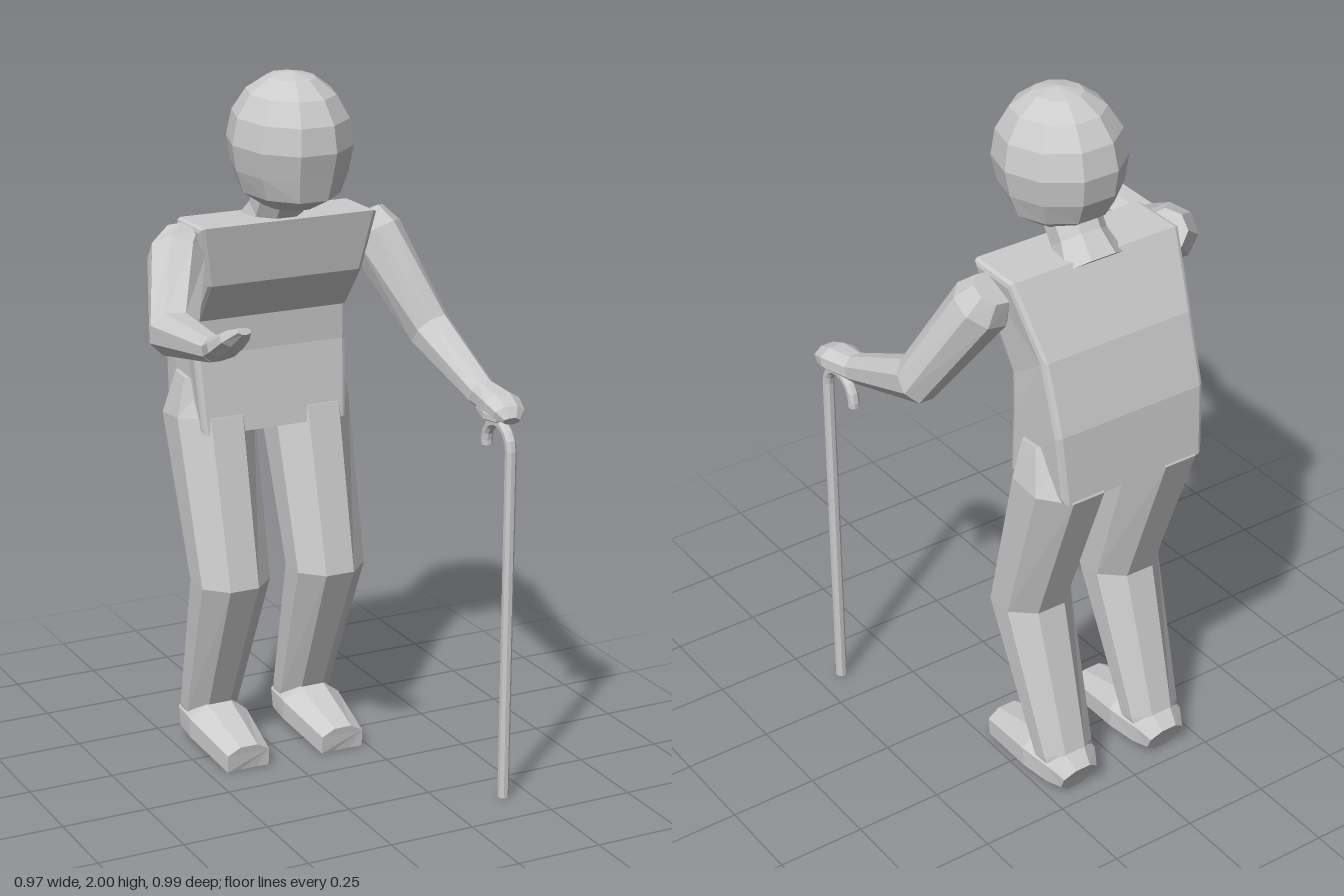
import * as THREE from 'three';

const material = new THREE.MeshStandardMaterial({ color: 0xcccccc, flatShading: true });

// Faceted limb: each ring is [x, y, z, half width, half depth], set square to the path.
function loft(rings, sides = 8, twist = 0.5) {
  const pts = rings.map(r => new THREE.Vector3(r[0], r[1], r[2]));
  const pos = [], index = [], n = rings.length;
  rings.forEach(([, , , a, b = a], i) => {
    const t = new THREE.Vector3();
    if (i > 0) t.add(pts[i].clone().sub(pts[i - 1]).normalize());
    if (i < n - 1) t.add(pts[i + 1].clone().sub(pts[i]).normalize());
    t.normalize();
    const s = new THREE.Vector3(1, 0, 0).addScaledVector(t, -t.x).normalize();
    const u = t.clone().cross(s);
    for (let j = 0; j < sides; j++) {
      const ang = (j + twist) / sides * Math.PI * 2;
      const p = pts[i].clone().addScaledVector(s, a * Math.cos(ang)).addScaledVector(u, b * Math.sin(ang));
      pos.push(p.x, p.y, p.z);
    }
  });
  for (let i = 0; i < n - 1; i++) {
    for (let j = 0; j < sides; j++) {
      const k = (j + 1) % sides, a = i * sides, b = a + sides;
      index.push(a + j, a + k, b + k, a + j, b + k, b + j);
    }
  }
  const last = (n - 1) * sides;
  for (let j = 1; j < sides - 1; j++) {
    index.push(0, j + 1, j, last, last + j, last + j + 1);
  }
  const g = new THREE.BufferGeometry();
  g.setAttribute('position', new THREE.Float32BufferAttribute(pos, 3));
  g.setIndex(index);
  g.computeVertexNormals();
  return g;
}

function deform(g, rule) {
  const p = g.attributes.position, v = new THREE.Vector3();
  for (let i = 0; i < p.count; i++) {
    rule(v.fromBufferAttribute(p, i));
    p.setXYZ(i, v.x, v.y, v.z);
  }
  g.computeVertexNormals();
  return g;
}

// Stooped trunk: side outline extruded across the body, narrowed below the shoulders.
function torsoGeometry() {
  const outline = [
    [-0.235, 0.975], [-0.262, 1.2], [-0.26, 1.3], [-0.17, 1.42], [-0.14, 1.59],
    [-0.305, 1.59], [-0.41, 1.395], [-0.47, 1.2], [-0.488, 1.0],
  ];
  const bevel = 0.016;
  const g = new THREE.ExtrudeGeometry(new THREE.Shape(outline.map(p => new THREE.Vector2(...p))), {
    depth: 2 - 0.12, bevelThickness: 0.06, bevelSize: bevel, bevelOffset: -bevel, bevelSegments: 2,
  });
  g.translate(0, 0, -0.94).rotateY(-Math.PI / 2);
  const widths = [[0.975, 0.222], [1.2, 0.235], [1.3, 0.235], [1.42, 0.238], [1.59, 0.27]];
  return deform(g, v => {
    let i = 0;
    while (i < widths.length - 2 && v.y > widths[i + 1][0]) i++;
    const [y0, w0] = widths[i], [y1, w1] = widths[i + 1];
    v.x *= THREE.MathUtils.lerp(w0, w1, THREE.MathUtils.clamp((v.y - y0) / (y1 - y0), 0, 1));
  });
}

// Faceted head with a flattened base and a forward chin.
function headGeometry() {
  const g = new THREE.SphereGeometry(1, 10, 8);
  return deform(g, v => {
    if (v.y < -0.5) { v.x *= 1.12; v.z *= v.z > 0 ? 1.22 : 1.05; }
    v.y = Math.max(v.y, -0.95);
    v.set(v.x * 0.171, v.y * 0.19, v.z * 0.188);
  });
}

export function createModel() {
  const model = new THREE.Group();
  const add = (name, geometry, parent = model) => {
    const mesh = new THREE.Mesh(geometry, material);
    mesh.name = name;
    parent.add(mesh);
    return mesh;
  };

  // Head, neck, trunk and legs share a centre line slightly to the left.
  const body = new THREE.Group();
  body.name = 'body';
  body.position.x = 0.015;
  model.add(body);

  const head = add('head', headGeometry(), body);
  head.position.set(0, 1.81, -0.145);
  head.rotation.x = 0.06;
  add('neck', loft([[0, 1.55, -0.28, 0.1, 0.08], [0, 1.61, -0.23, 0.078, 0.07], [0, 1.7, -0.17, 0.08, 0.07]]), body);
  add('torso', torsoGeometry(), body);

  for (const [side, s] of [['left', 1], ['right', -1]]) {
    // Bent legs
    add(side + 'Leg', loft([
      [s * 0.15, 1.13, -0.35, 0.1, 0.08],
      [s * 0.15, 1.01, -0.365, 0.128, 0.136],
      [s * 0.15, 0.545, -0.228, 0.114, 0.106],
      [s * 0.15, 0.11, -0.385, 0.086, 0.064],
      [s * 0.15, 0.05, -0.4, 0.075, 0.06],
    ]), body);
    // Shoe, swept from heel to toe
    const shoe = loft([
      [s * 0.15, 0.05, -0.46, 0.06, 0.05],
      [s * 0.15, 0.068, -0.42, 0.085, 0.074],
      [s * 0.15, 0.068, -0.32, 0.097, 0.074],
      [s * 0.15, 0.04, -0.115, 0.07, 0.04],
    ]);
    add(side + 'Foot', deform(shoe, v => { if (v.y < 0.03) v.y = 0.004; }), body);
  }

  // Left arm, reaching down to the cane
  add('leftArm', loft([
    [0.298, 1.56, -0.25, 0.055],
    [0.312, 1.505, -0.222, 0.083],
    [0.418, 1.245, -0.075, 0.062, 0.068],
    [0.425, 1.135, 0.21, 0.042],
  ]));
  add('leftHand', loft([
    [0.425, 1.137, 0.205, 0.041],
    [0.43, 1.13, 0.3, 0.058, 0.035],
    [0.428, 1.115, 0.345, 0.048, 0.03],
    [0.425, 1.1, 0.365, 0.025, 0.015],
  ]));
  add('leftThumb', loft([[0.4, 1.12, 0.25, 0.02], [0.39, 1.105, 0.3, 0.018], [0.4, 1.1, 0.34, 0.01]], 6));

  // Right arm, held out in front with the palm raised
  add('rightArm', loft([
    [-0.255, 1.545, -0.245, 0.06],
    [-0.3, 1.505, -0.2, 0.08],
    [-0.42, 1.37, 0.055, 0.07, 0.066],
    [-0.435, 1.402, 0.345, 0.037, 0.033],
  ]));
  add('rightHand', loft([
    [-0.435, 1.402, 0.34, 0.037, 0.033],
    [-0.438, 1.43, 0.41, 0.052, 0.032],
    [-0.435, 1.462, 0.46, 0.044, 0.024],
    [-0.425, 1.488, 0.497, 0.022, 0.01],
  ]));

  // Walking cane: straight shaft with a hooked handle
  const cane = [[0.425, 0.002, 0.365, 0.016]];
  for (let i = 0; i <= 8; i++) {
    const a = i / 8 * Math.PI;
    cane.push([0.425, 1.015 + 0.0635 * Math.sin(a), 0.3 + 0.065 * Math.cos(a), 0.016]);
  }
  cane.push([0.425, 1.0, 0.235, 0.016]);
  add('cane', loft(cane));

  return model;
}
